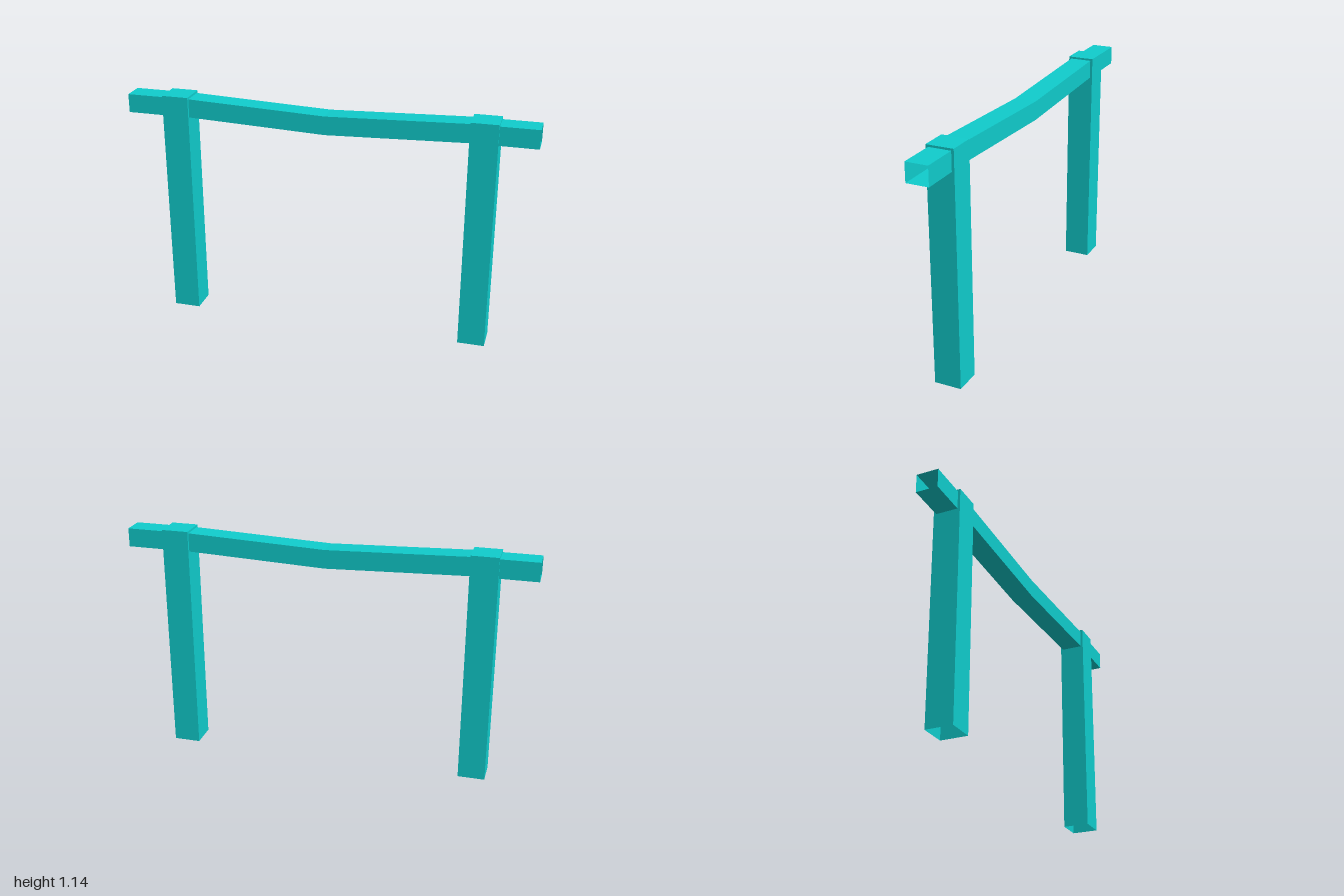
import * as THREE from 'three';

const material = new THREE.MeshStandardMaterial({
  color: 0x10cccc, flatShading: true, side: THREE.DoubleSide,
});

const POST = { x: 0.75, half: 0.066, height: 1.145 };
const BEAM = { half: 0.054, low: 1.043, high: 1.135, sag: 0.026 };

function addMesh(parent, name, geometry, x = 0, y = 0, z = 0, rx = 0, ry = 0) {
  const mesh = new THREE.Mesh(geometry, material);
  mesh.name = name;
  mesh.position.set(x, y, z);
  mesh.rotation.set(rx, ry, 0);
  parent.add(mesh);
}

// Open rectangular tube, level over the posts and sagging to the middle
function beamGeometry() {
  const inner = POST.x - POST.half;
  const stations = [[-1, 0], [-inner, 0], [0, BEAM.sag], [inner, 0], [1, 0]];
  const rings = stations.map(([x, drop]) => [
    [x, BEAM.low - drop, BEAM.half],
    [x, BEAM.high - drop, BEAM.half],
    [x, BEAM.high - drop, -BEAM.half],
    [x, BEAM.low - drop, -BEAM.half],
  ]);
  const positions = [];
  for (let i = 0; i < rings.length - 1; i++) {
    for (let j = 0; j < 4; j++) {
      const k = (j + 1) % 4;
      const a = rings[i][j], b = rings[i + 1][j];
      const c = rings[i + 1][k], d = rings[i][k];
      positions.push(...a, ...b, ...c, ...a, ...c, ...d);
    }
  }
  const geometry = new THREE.BufferGeometry();
  geometry.setAttribute('position', new THREE.Float32BufferAttribute(positions, 3));
  geometry.computeVertexNormals();
  return geometry;
}

function rectangle(PathType, half, low, high) {
  return new PathType([
    new THREE.Vector2(-half, low), new THREE.Vector2(half, low),
    new THREE.Vector2(half, high), new THREE.Vector2(-half, high),
  ]);
}

// Hollow post, closed on top, open below, pierced for the beam
function createPost(name, x) {
  const post = new THREE.Group();
  post.name = name;
  post.position.x = x;
  const { half, height } = POST;

  const pierced = rectangle(THREE.Shape, half, 0, height);
  pierced.holes.push(rectangle(THREE.Path, BEAM.half, BEAM.low, BEAM.high));
  const sideWall = new THREE.ShapeGeometry(pierced);
  const plainWall = new THREE.PlaneGeometry(half * 2, height);

  for (const s of [-1, 1]) {
    addMesh(post, 'piercedWall', sideWall, s * half, 0, 0, 0, s * Math.PI / 2);
    addMesh(post, 'plainWall', plainWall, 0, height / 2, s * half, 0, s > 0 ? 0 : Math.PI);
  }
  addMesh(post, 'postCap', new THREE.PlaneGeometry(half * 2, half * 2), 0, height, 0, -Math.PI / 2);
  return post;
}

export function createModel() {
  const model = new THREE.Group();
  model.name = 'postAndBeamFrame';
  addMesh(model, 'saggingBeam', beamGeometry());
  model.add(createPost('leftPost', POST.x), createPost('rightPost', -POST.x));
  return model;
}
